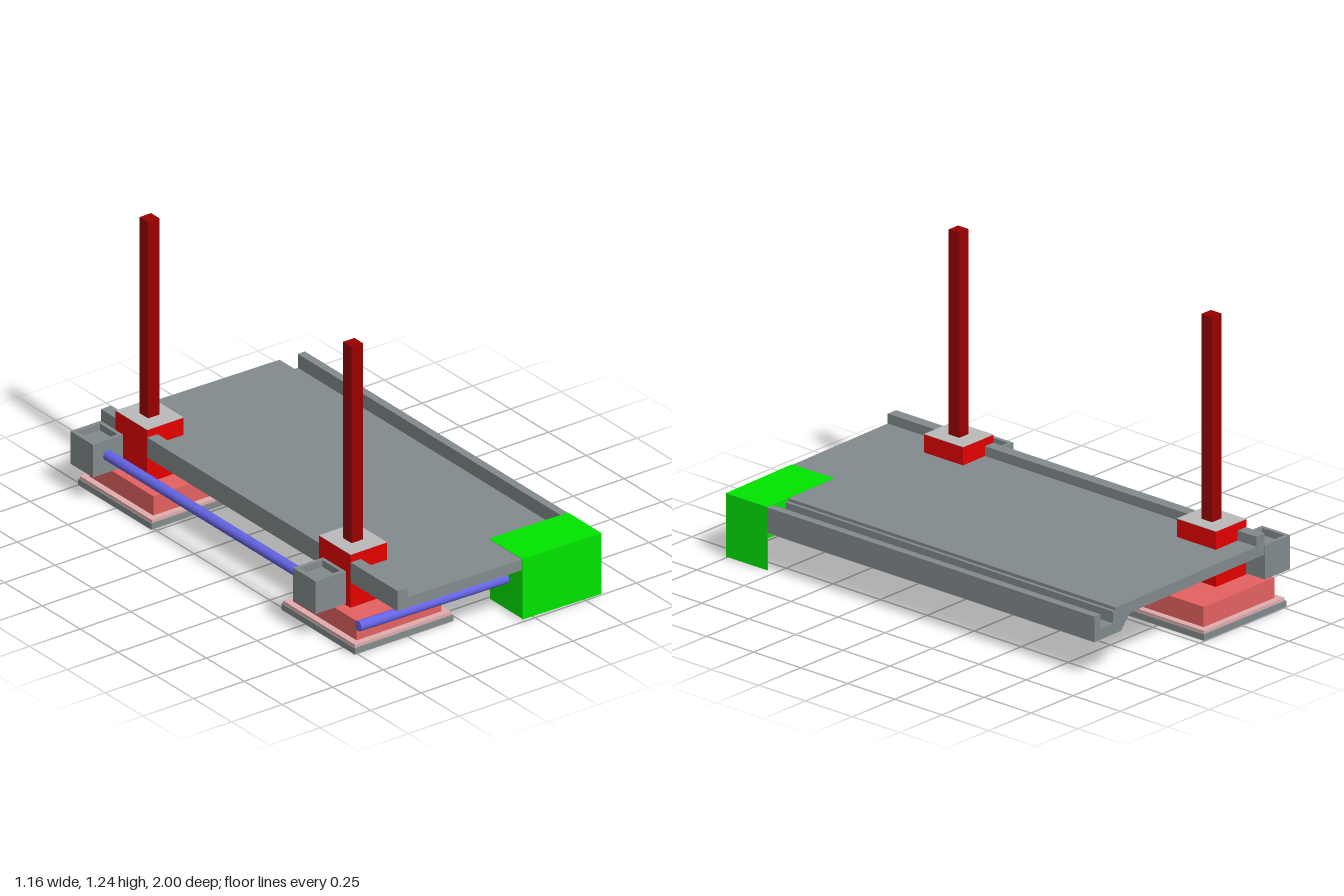
import * as THREE from 'three';

const material = (name, hex, side = THREE.FrontSide) => {
  const m = new THREE.MeshStandardMaterial({ color: hex, side });
  m.name = name;
  return m;
};

export function createModel() {
  const group = new THREE.Group();
  const grey = material('slate grey', 0x838b8e);
  const paleGrey = material('pale grey', 0xbbbbbb);
  const red = material('red', 0xe60000);
  const darkRed = material('dark red', 0x990000);
  const softRed = material('soft red', 0xe66262);
  const pink = material('pink', 0xe2adad);
  const blue = material('blue', 0x6464e6);
  const green = material('green', 0x00e600, THREE.DoubleSide);

  const add = (name, geometry, mat, parent = group) => {
    const mesh = new THREE.Mesh(geometry, mat);
    mesh.name = name;
    parent.add(mesh);
    return mesh;
  };
  // Box given by its lower and upper corners
  const box = (name, mat, [x0, y0, z0], [x1, y1, z1], parent) => {
    const g = new THREE.BoxGeometry(x1 - x0, y1 - y0, z1 - z0);
    g.translate((x0 + x1) / 2, (y0 + y1) / 2, (z0 + z1) / 2);
    return add(name, g, mat, parent);
  };
  const shapeOf = (pts) => new THREE.Shape(pts.map(([x, y]) => new THREE.Vector2(x, y)));
  // Profile in x and y, run from z0 to z1
  const extrude = (pts, z0, z1) => {
    const g = new THREE.ExtrudeGeometry(shapeOf(pts), { depth: z1 - z0, bevelEnabled: false });
    return g.translate(0, 0, z0);
  };
  const rod = (name, a, b, radius) => {
    const from = new THREE.Vector3(...a), to = new THREE.Vector3(...b);
    const dir = to.clone().sub(from);
    const mesh = add(name, new THREE.CylinderGeometry(radius, radius, dir.length(), 24), blue);
    mesh.position.copy(from).add(to).multiplyScalar(0.5);
    mesh.quaternion.setFromUnitVectors(new THREE.Vector3(0, 1, 0), dir.normalize());
  };

  // Sloping deck: raised lip on one edge, deep gutter beam on the other
  const lip = [[-0.38, 0.287], [-0.38, 0.329], [-0.43, 0.329], [-0.43, 0.239]];
  add('deck', extrude([
    ...lip, [0.37, 0.229], [0.42, 0.168], [0.578, 0.166], [0.578, 0.274], [0.543, 0.274],
    [0.543, 0.212], [0.468, 0.213], [0.468, 0.263], [0.453, 0.263], [0.453, 0.276],
  ], -0.96, 0.78), grey);
  add('deckFront', extrude([...lip, [0.19, 0.2313], [0.19, 0.2795]], 0.78, 1), grey);
  add('beamUnderside', extrude(
    [[0.42, 0.166], [0.578, 0.164], [0.578, 0.166], [0.42, 0.168]], -0.96, 0.78), paleGrey);

  // Collector cover at the front corner, open below and behind
  const cover = new THREE.Group();
  cover.name = 'cornerCover';
  group.add(cover);
  const x0 = 0.186, x1 = 0.578, t = 0.003;
  add('coverFront', extrude(
    [[x0, 0.012], [x1, 0.006], [x1, 0.276], [x0, 0.282]], 0.998, 1.001), green, cover);
  box('coverOuterSide', green, [x1 - t, 0.006, 0.78], [x1, 0.276, 0.999], cover);
  box('coverInnerSide', green, [0.1905, 0.012, 0.78], [0.1935, 0.281, 0.999], cover);
  add('coverTop', extrude(
    [[x0, 0.28], [x1, 0.274], [x1, 0.276], [x0, 0.282]], 0.78, 0.999), green, cover);

  // Two supports: foot, block, pillar and pole
  const cx = -0.27, px = -0.341;
  for (const [name, z] of [['frontSupport', 0.587], ['backSupport', -0.757]]) {
    const support = new THREE.Group();
    support.name = name;
    group.add(support);
    const slab = (part, mat, x, r, y0, y1, rz = r) =>
      box(part, mat, [x - r, y0, z - rz], [x + r, y1, z + rz], support);
    slab('footUnderside', paleGrey, cx, 0.243, 0, 0.002);
    slab('footPlate', grey, cx, 0.243, 0.002, 0.028);
    slab('footPad', pink, cx, 0.238, 0.028, 0.041);
    slab('footBlock', softRed, cx, 0.21, 0.041, 0.127);
    slab('pillar', red, px, 0.09, 0.127, 0.362, 0.104);
    slab('pillarCap', paleGrey, px, 0.09, 0.362, 0.364, 0.104);
    slab('pole', darkRed, px, 0.028, 0.364, 1.238);
  }

  // Square cups beside the lip, with a shallow recess on top
  for (const [name, z] of [['frontCup', 0.585], ['backCup', -0.886]]) {
    const cup = new THREE.Group();
    cup.name = name;
    group.add(cup);
    const square = (r) => [[-r, -r], [r, -r], [r, r], [-r, r]];
    const rim = shapeOf(square(0.075));
    rim.holes.push(shapeOf(square(0.058)));
    const rimGeometry = new THREE.ExtrudeGeometry(rim, { depth: 0.03, bevelEnabled: false });
    rimGeometry.rotateX(-Math.PI / 2);
    rimGeometry.translate(-0.505, 0.247, z);
    add('cupRim', rimGeometry, grey, cup);
    box('cupBody', grey, [-0.58, 0.132, z - 0.075], [-0.43, 0.247, z + 0.075], cup);
  }

  // Pipes: one between the cups, one along the front into the cover
  rod('sidePipe', [-0.508, 0.21, -0.82], [-0.508, 0.21, 0.52], 0.022);
  rod('frontPipe', [-0.54, 0.16, 0.887], [0.19, 0.148, 0.887], 0.022);

  return group;
}
